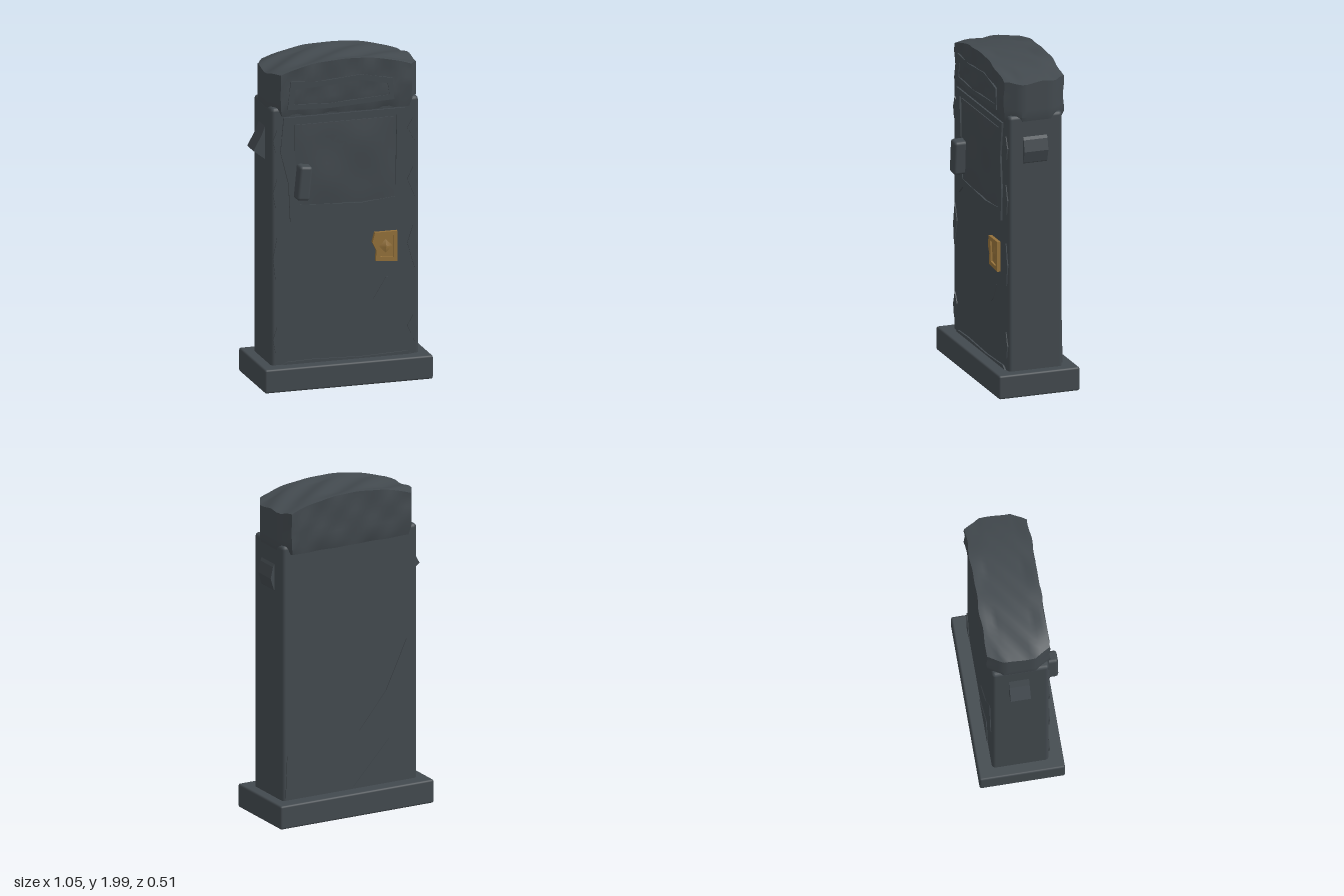
import * as THREE from 'three';
import { toCreasedNormals } from 'three/addons/utils/BufferGeometryUtils.js';
import { RoundedBoxGeometry } from 'three/addons/geometries/RoundedBoxGeometry.js';

const slate = new THREE.MeshStandardMaterial({ name: 'dark slate', color: 0x42494e });
const brass = new THREE.MeshStandardMaterial({ name: 'aged brass', color: 0x94713a });

export function createModel() {
  const root = new THREE.Group();

  function add(name, geometry, material = slate, x = 0, y = 0, z = 0) {
    const mesh = new THREE.Mesh(geometry, material);
    mesh.name = name;
    mesh.position.set(x, y, z);
    root.add(mesh);
    return mesh;
  }

  // Rounded box given by its limits
  function block(name, [x0, x1], [y0, y1], [z0, z1], r, material) {
    return add(name, new RoundedBoxGeometry(x1 - x0, y1 - y0, z1 - z0, 2, r), material,
      (x0 + x1) / 2, (y0 + y1) / 2, (z0 + z1) / 2);
  }

  // Polygon in x/y extruded from z0 to z1, with optional holes
  function plate(name, points, z0, z1, material, holes = []) {
    const vec = (list) => list.map(([x, y]) => new THREE.Vector2(x, y));
    const shape = new THREE.Shape(vec(points));
    holes.forEach((h) => shape.holes.push(new THREE.Path(vec(h))));
    const g = new THREE.ExtrudeGeometry(shape, { depth: z1 - z0, bevelEnabled: false });
    return add(name, g, material, 0, 0, z0);
  }

  // Plinth and main slab
  block('plinth', [-0.52, 0.52], [0, 0.145], [-0.255, 0.255], 0.012);
  block('body', [-0.455, 0.458], [0.12, 1.72], [-0.17, 0.17], 0.022);

  // Worn arched cap: box with clipped corners, arched top and uneven faces
  const cap = new THREE.BoxGeometry(2, 1, 2, 24, 6, 12);
  const p = cap.attributes.position;
  for (let i = 0; i < p.count; i++) {
    const u = p.getX(i), v = p.getY(i) + 0.5, w = p.getZ(i);
    const inset = v < 0.1 ? 0.012 : 0;
    const clip = 0.055 * Math.max(0, (Math.abs(w) - 0.5) / 0.5);
    const x = 0.005 + u * (0.46 - inset - clip);
    const arch = 1.992 - 0.068 * Math.pow(Math.abs(u), 2.2);
    const wear = 0.006 * Math.sin(u * 11 + w * 4) * Math.sin(v * 9 + u * 3);
    const dent = v > 0.95 && Math.abs(w) < 0.8 ? 0.008 * Math.sin(u * 9 + w * 5) - 0.006 : 0;
    const z = -0.005 + w * (0.188 - inset) + (Math.abs(w) === 1 ? wear : 0);
    p.setXYZ(i, x, 1.665 + v * (arch - 1.665) + dent, z);
  }
  add('archedCap', toCreasedNormals(cap, 0.6));

  // Rough raised edging on the cap front
  plate('capSignFrame',
    [[-0.36, 1.71], [-0.1, 1.7], [0.3, 1.72], [0.29, 1.85], [0.1, 1.89], [-0.15, 1.87], [-0.34, 1.88]],
    0.17, 0.19, slate,
    [[[-0.32, 1.74], [-0.31, 1.83], [-0.15, 1.84], [0.1, 1.855], [0.26, 1.82], [0.27, 1.75], [-0.1, 1.73]]]);

  // Upper panel with a chipped frame and a slightly domed face
  plate('panelFrame',
    [[-0.34, 1.02], [-0.28, 1.07], [-0.1, 1.08], [0.1, 1.07], [0.35, 1.05], [0.36, 1.25],
      [0.34, 1.45], [0.37, 1.66], [-0.38, 1.66], [-0.4, 1.45], [-0.35, 1.25]],
    0.16, 0.181, slate,
    [[[-0.28, 1.12], [-0.33, 1.62], [0.32, 1.62], [0.31, 1.12], [0.1, 1.1], [-0.1, 1.11]]]);
  const face = new THREE.BoxGeometry(0.62, 0.5, 0.02, 16, 12, 1);
  const f = face.attributes.position;
  for (let i = 0; i < f.count; i++) {
    const x = f.getX(i), y = f.getY(i);
    if (f.getZ(i) > 0) {
      const edge = (1 - Math.pow(x / 0.31, 4)) * (1 - Math.pow(y / 0.25, 4));
      f.setZ(i, 0.006 + edge * (0.006 + 0.005 * Math.sin(x * 14) * Math.sin(y * 13)));
    }
  }
  add('panelFace', toCreasedNormals(face, 0.7), slate, 0, 1.36, 0.17);

  // Projecting handle on the left edge of the panel
  const handle = block('panelHandle', [-0.31, -0.23], [1.16, 1.37], [0.15, 0.25], 0.018);
  handle.rotation.z = -0.1;

  // Brass plate with a raised rim and a broken corner
  const rim = [[0.185, 0.735], [0.32, 0.725], [0.32, 0.91], [0.18, 0.91], [0.165, 0.85], [0.19, 0.8]];
  plate('brassPlate', rim, 0.16, 0.179, brass);
  plate('brassRim', rim, 0.179, 0.191, brass,
    [[[0.21, 0.76], [0.205, 0.885], [0.295, 0.885], [0.295, 0.75]]]);
  const boss = add('brassBoss', new THREE.ConeGeometry(0.045, 0.014, 4), brass, 0.25, 0.82, 0.185);
  boss.rotation.x = Math.PI / 2;

  // Side lugs
  plate('rightLug', [[-0.44, 1.62], [-0.475, 1.53], [-0.527, 1.435], [-0.455, 1.38], [-0.43, 1.38]], -0.07, 0.05);
  plate('leftLug', [[0.44, 1.62], [0.44, 1.4], [0.462, 1.43], [0.483, 1.5], [0.468, 1.57]], -0.07, 0.08);

  // Chipped flakes along the slab edges and foot
  for (const s of [-1, 1]) {
    for (const [y, h] of [[0.3, 0.16], [0.8, 0.26], [1.2, 0.18], [1.52, 0.14]]) {
      plate('edgeFlake', [[s * 0.43, y - h / 2], [s * 0.445, y], [s * 0.42, y + h / 2], [s * 0.385, y + h * 0.1]]
        .sort(() => 0), 0.16, 0.176);
    }
  }
  plate('footMoulding', [[-0.4, 0.14], [0.42, 0.14], [0.38, 0.165], [0.1, 0.155], [-0.2, 0.165], [-0.36, 0.16]], 0.16, 0.18);
  plate('crack', [[0.175, 0.5], [0.21, 0.53], [0.265, 0.63], [0.255, 0.63], [0.2, 0.54]], 0.165, 0.174);

  // Broken facets on the back
  plate('backFacet', [[-0.3, 0.16], [-0.02, 0.16], [-0.26, 0.42]], -0.175, -0.165);
  plate('backFacet', [[0.44, 0.16], [0.36, 0.16], [0.43, 0.42]], -0.175, -0.165);
  plate('backFacet', [[-0.42, 0.68], [-0.2, 0.64], [-0.06, 0.5], [-0.24, 0.72], [-0.38, 1.02]], -0.175, -0.165);

  return root;
}
